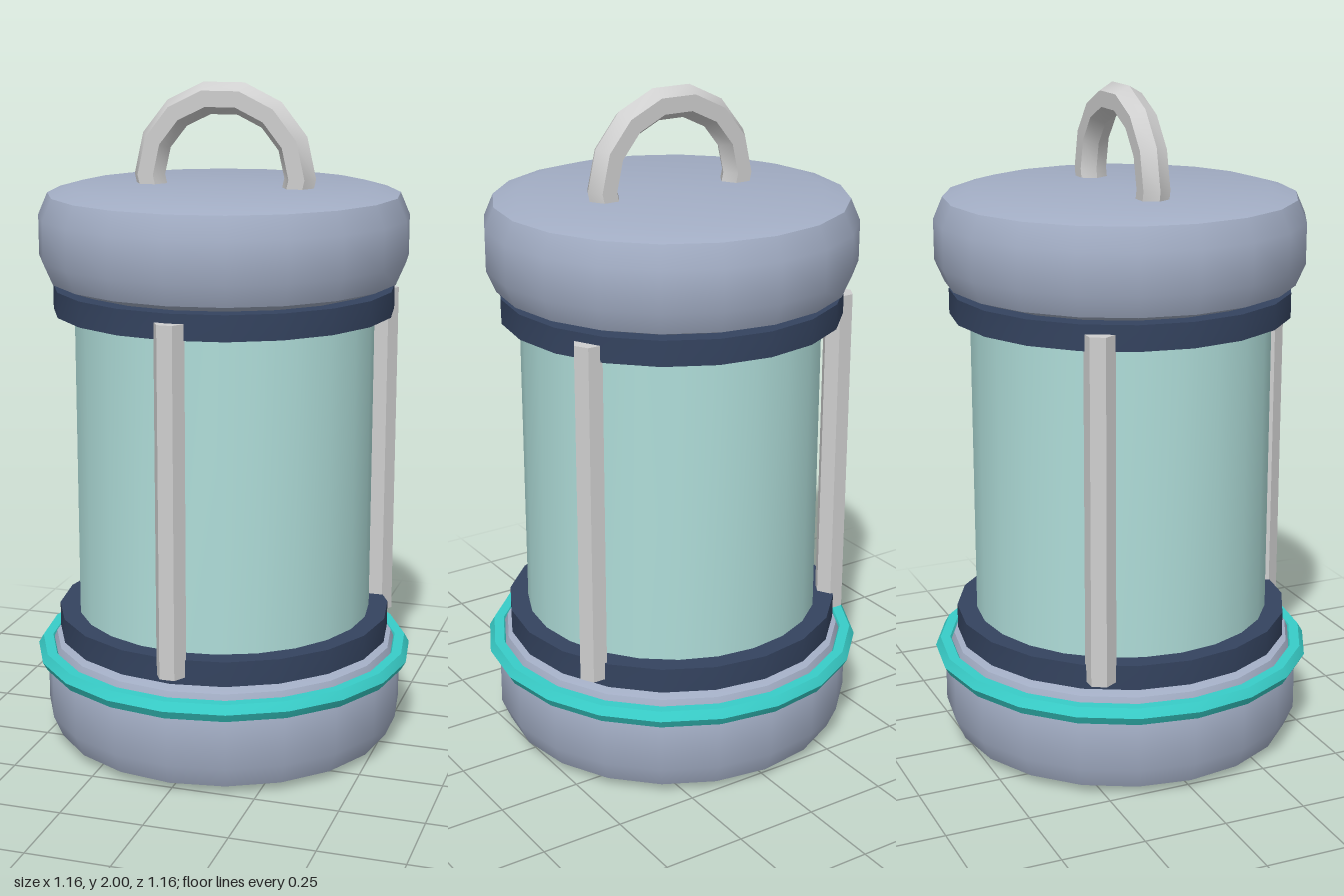
import * as THREE from 'three';
import { toCreasedNormals } from 'three/addons/utils/BufferGeometryUtils.js';

const SIDES = 20;

function material(name, color) {
  const m = new THREE.MeshStandardMaterial({ color });
  m.name = name;
  return m;
}

// Lathed cap with bevelled rims, standing on y = 0
function capGeometry(height) {
  const profile = [
    [0, 0], [0.45, 0], [0.522, 0.025], [0.55, 0.09],
    [0.55, height - 0.085], [0.522, height - 0.02], [0.45, height], [0, height],
  ].map(([r, y]) => new THREE.Vector2(r, y));
  return new THREE.LatheGeometry(profile, SIDES);
}

export function createModel() {
  const shell = material('blue grey shell', 0xa3aec5);
  const glass = material('pale aqua glass', 0xafddd9);
  const navy = material('navy band', 0x34435f);
  const teal = material('teal trim', 0x38cdc8);
  const metal = material('light metal', 0xcfcfcf);

  const model = new THREE.Group();
  model.name = 'canister';

  const add = (name, geometry, mat, x = 0, y = 0, z = 0) => {
    const mesh = new THREE.Mesh(toCreasedNormals(geometry, 0.6), mat);
    mesh.name = name;
    mesh.position.set(x, y, z);
    model.add(mesh);
    return mesh;
  };

  // End caps
  add('bottomCap', capGeometry(0.33), shell);
  add('topCap', capGeometry(0.295), shell, 0, 1.405);

  // Glass chamber
  add('chamber', new THREE.CylinderGeometry(0.45, 0.45, 1.1, 24), glass, 0, 0.865);

  // Bands holding the chamber
  for (const [name, y] of [['lowerBand', 0.365], ['upperBand', 1.37]]) {
    add(name, new THREE.CylinderGeometry(0.51, 0.51, 0.075, SIDES), navy, 0, y);
  }

  // Trim ring around the bottom cap
  const ring = new THREE.TorusGeometry(0.55, 0.03, 6, SIDES).rotateX(Math.PI / 2);
  add('trimRing', ring, teal, 0, 0.27);

  // Three hexagonal guard rods
  for (let i = 0; i < 3; i++) {
    const a = (i * Math.PI * 2) / 3;
    const rod = new THREE.CylinderGeometry(0.045, 0.045, 1.03, 6).rotateY(Math.PI / 6);
    add('guardRod' + (i + 1), rod, metal, Math.sin(a) * 0.5, 0.865, Math.cos(a) * 0.5);
  }

  // Carrying handle, its ends sunk into the top cap
  const step = Math.PI / 7;
  const handle = new THREE.TorusGeometry(0.232, 0.048, 6, 9, step * 9).rotateZ(-step);
  add('handle', handle, metal, 0, 1.727);

  return model;
}
